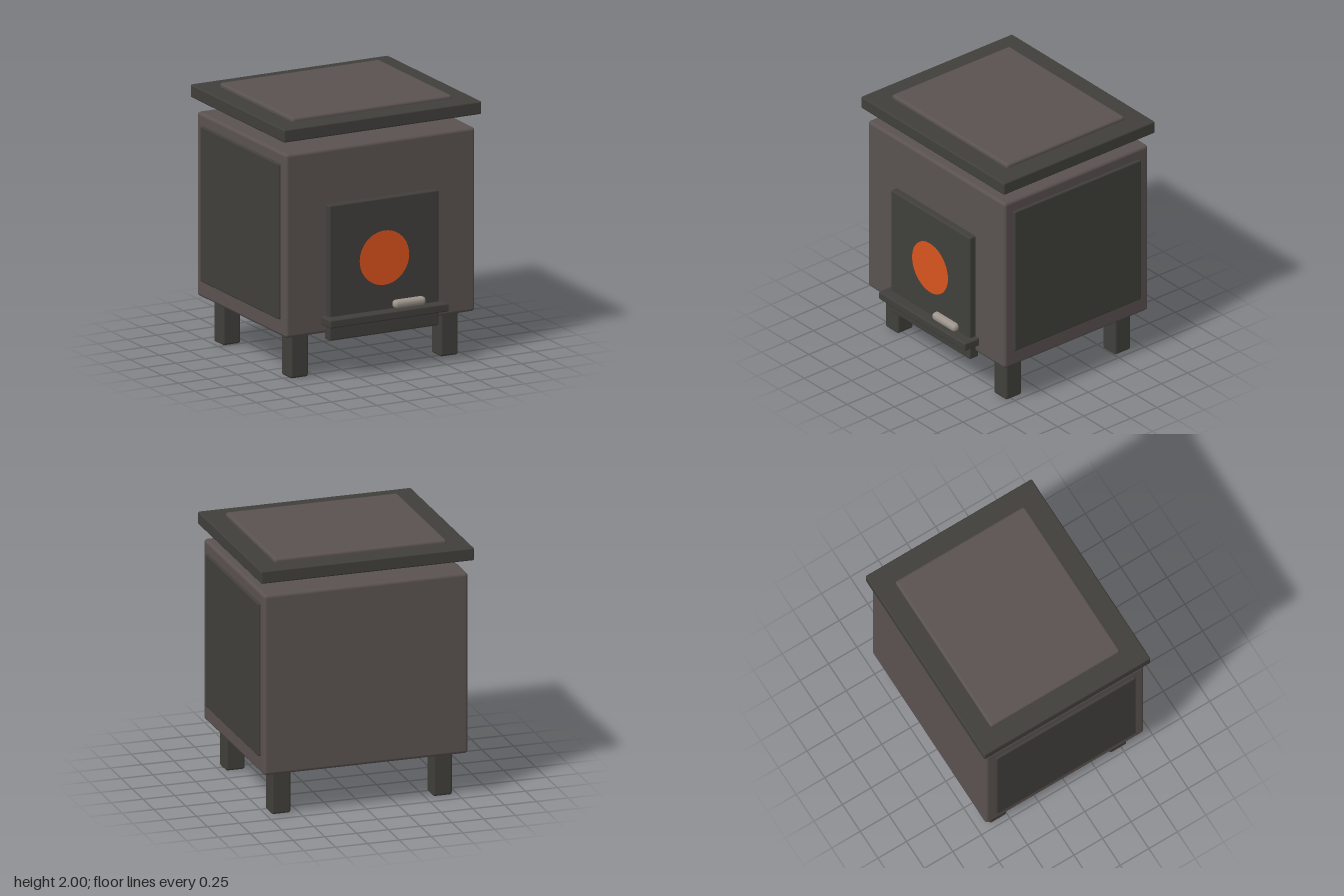
import * as THREE from 'three';
import { RoundedBoxGeometry } from 'three/addons/geometries/RoundedBoxGeometry.js';

const material = (color) => new THREE.MeshStandardMaterial({ color });

export function createModel() {
  const stove = new THREE.Group();
  stove.name = 'stove';
  const iron = material(0x5a5250);
  const darkIron = material(0x403f3b);
  const steel = material(0x9c948c);
  const ember = material(0xd9531e);

  // Rounded box given by its extents on each axis
  function block(name, [x0, x1], [y0, y1], [z0, z1], mat, radius = 0.012) {
    const geometry = new RoundedBoxGeometry(x1 - x0, y1 - y0, z1 - z0, 3, radius);
    const mesh = new THREE.Mesh(geometry, mat);
    mesh.position.set((x0 + x1) / 2, (y0 + y1) / 2, (z0 + z1) / 2);
    mesh.name = name;
    stove.add(mesh);
    return mesh;
  }

  // Firebox
  block('body', [-0.803, 0.803], [0.345, 1.765], [-0.743, 0.643], iron, 0.025);

  // Raised lid with inset top plate
  block('lid', [-0.838, 0.838], [1.87, 1.97], [-0.778, 0.678], darkIron);
  block('topPlate', [-0.677, 0.677], [1.92, 2], [-0.62, 0.515], iron, 0.02);

  // Side panels and legs, mirrored
  for (const [side, s] of [['left', 1], ['right', -1]]) {
    const span = (a, b) => [Math.min(s * a, s * b), Math.max(s * a, s * b)];
    block(side + 'Panel', span(0.76, 0.822), [0.475, 1.675], [-0.66, 0.56], darkIron);
    block(side + 'FrontLeg', span(0.56, 0.71), [0, 0.345], [0.4, 0.55], darkIron, 0.018);
    block(side + 'BackLeg', span(0.56, 0.71), [0, 0.345], [-0.65, -0.5], darkIron, 0.018);
  }

  // Door, ash shelf and handle
  block('door', [-0.463, 0.463], [0.295, 1.34], [0.615, 0.698], darkIron);
  block('ashShelf', [-0.505, 0.505], [0.415, 0.48], [0.6, 0.782], darkIron);
  block('handle', [0.065, 0.335], [0.48, 0.545], [0.68, 0.748], steel, 0.03);

  // Glowing round window on the door
  const fireWindow = new THREE.Mesh(new THREE.CircleGeometry(0.21, 40), ember);
  fireWindow.position.set(0, 0.88, 0.701);
  fireWindow.name = 'fireWindow';
  stove.add(fireWindow);

  return stove;
}
